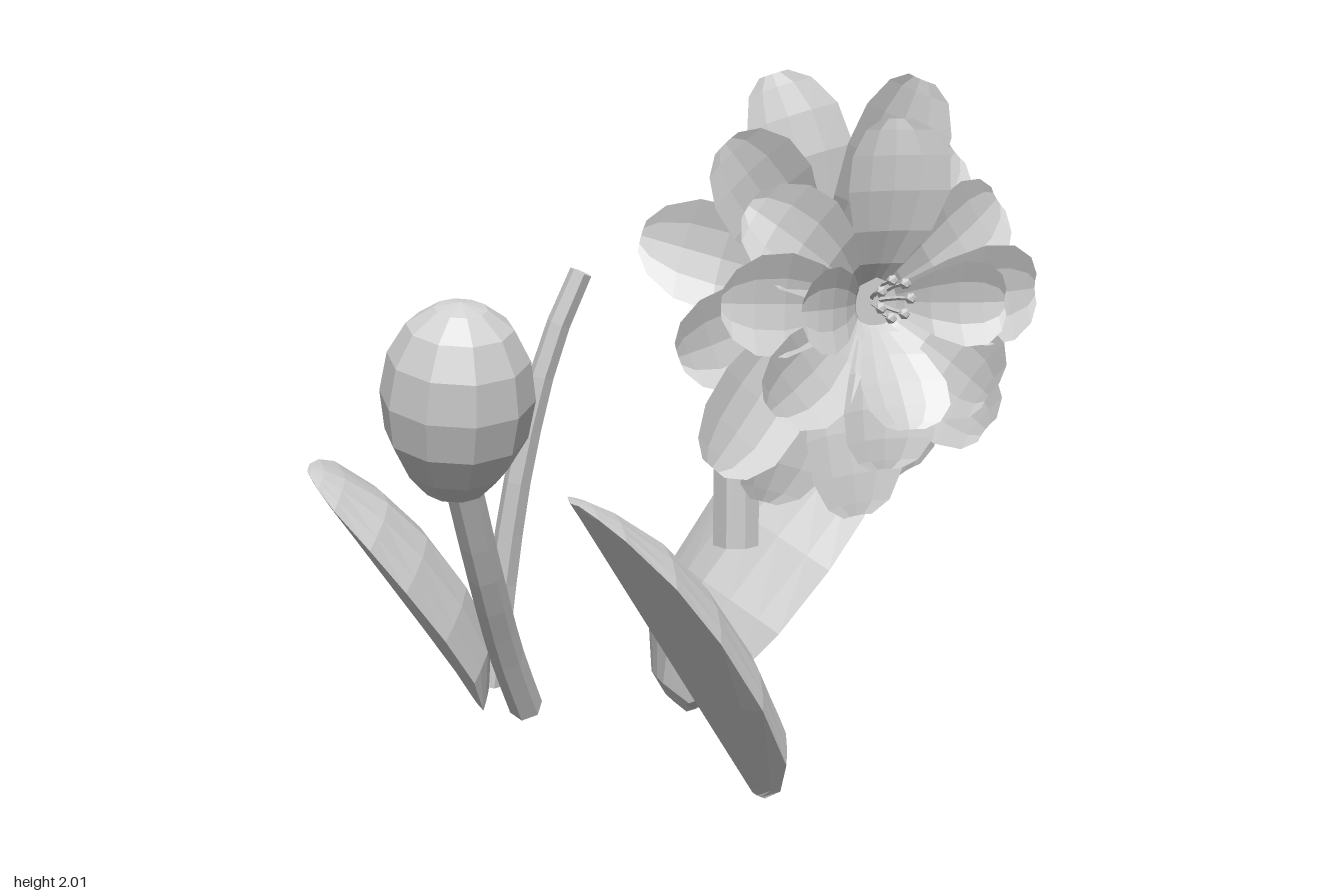
import * as THREE from 'three';

const V = (x, y, z) => new THREE.Vector3(x, y, z);
const clay = new THREE.MeshStandardMaterial({ color: 0xd0d0d0, flatShading: true, side: THREE.DoubleSide });
clay.name = 'lightGrey';

function mesh(geometry, name, parent) {
  const m = new THREE.Mesh(geometry, clay);
  m.name = name;
  parent.add(m);
  return m;
}

// Skin a list of equally long point rows
function skin(rows) {
  const n = rows[0].length, index = [];
  for (let i = 0; i < rows.length - 1; i++) {
    for (let j = 0; j < n - 1; j++) {
      const a = i * n + j, b = a + n;
      index.push(a, a + 1, b, b, a + 1, b + 1);
    }
  }
  const g = new THREE.BufferGeometry().setFromPoints(rows.flat());
  g.setIndex(index);
  g.computeVertexNormals();
  return g;
}

// Tapered, capped stem along a smooth path
function stem(points, r0, r1, steps = 8, sides = 6) {
  const curve = new THREE.CatmullRomCurve3(points);
  const frames = curve.computeFrenetFrames(steps);
  const ring = (i, r) => Array.from({ length: sides + 1 }, (_, j) => {
    const a = (j / sides) * Math.PI * 2;
    return curve.getPointAt(i / steps)
      .addScaledVector(frames.normals[i], -r * Math.cos(a))
      .addScaledVector(frames.binormals[i], r * Math.sin(a));
  });
  const rows = [ring(0, 0)];
  for (let i = 0; i <= steps; i++) rows.push(ring(i, r0 + (r1 - r0) * i / steps));
  rows.push(ring(steps, 0));
  return skin(rows);
}

// Fleshy leaf: a straight keel below, a bulging top and a rim between; shape holds [t, width, bulge]
const LEAF = [[0, .2, .12], [.03, .42, .5], [.14, .72, .88], [.35, .94, 1], [.58, 1, .95],
  [.76, .92, .76], [.91, .68, .42], [.97, .42, .22], [1, .16, .08]];
const CUT_LEAF = [[0, .6, .4], [.14, .8, .85], ...LEAF.slice(3)];
function leaf(base, tip, half, depth, roll, shape) {
  const dir = tip.clone().sub(base).normalize();
  const flat = V(0, 0, 1).addScaledVector(dir, -dir.z).normalize();
  const rise = flat.clone().cross(dir);
  if (rise.y < 0) rise.negate();
  const side = flat.clone().multiplyScalar(Math.cos(roll)).addScaledVector(rise, -Math.sin(roll));
  const up = rise.clone().multiplyScalar(Math.cos(roll)).addScaledVector(flat, Math.sin(roll));
  const across = [-1, -.75, -.4, 0, .4, .75, 1];
  const loop = [...across.map(s => [s, 1]), ...across.toReversed().map(s => [s, -1])];
  const rows = shape.map(([t, w, bulge]) => loop.map(([s, face]) =>
    base.clone().lerp(tip, t)
      .addScaledVector(side, s * w * half)
      .addScaledVector(up, depth * bulge * (.5 + face * .5 * (1 - Math.abs(s) ** 1.5)))));
  return skin([loop.map(() => base), ...rows, loop.map(() => tip)]);
}

// Cupped petal pointing along +x, with its side profile in x and z
const PETAL = [[0, .18], [.2, .42], [.42, .77], [.65, 1], [.83, .95], [.95, .66], [1, .3]];
function petal(length, half, z0, zMid, zTip, cup) {
  const path = new THREE.QuadraticBezierCurve3(V(.03, 0, z0), V(length * .42, 0, zMid), V(length, 0, zTip));
  return skin(PETAL.map(([t, w]) => [-1, -.5, 0, .5, 1].map(s =>
    path.getPoint(t).add(V(0, s * w * half, cup * s * s * w)))));
}

export function createModel() {
  const model = new THREE.Group();

  // Leaves
  mesh(leaf(V(.25, 0, -.595), V(.9, .86, -.595), .33, .21, .25, LEAF), 'leftLeaf', model);
  mesh(leaf(V(.18, .03, .19), V(-.34, .91, .19), .305, .2, 0, LEAF), 'frontLeaf', model);
  mesh(leaf(V(-.42, .11, -.665), V(-.9, .87, -.59), .255, .18, .25, CUT_LEAF), 'rightLeaf', model);

  // Small loose stem end beside the left leaf
  const disc = mesh(new THREE.CircleGeometry(.072, 6), 'stemEnd', model);
  disc.position.set(.26, .09, -.36);
  disc.lookAt(.26, .91, -.93);

  // Bare stem
  mesh(stem([V(-.35, .12, -.68), V(-.31, .45, -.66), V(-.26, .82, -.61), V(-.17, 1.2, -.565), V(-.08, 1.42, -.54)],
    .05, .034), 'bareStem', model);

  // Bud and its stem
  mesh(stem([V(-.27, .075, -.55), V(-.36, .3, -.43), V(-.46, .6, -.26), V(-.56, .94, -.1)], .052, .05), 'budStem', model);
  const profile = [[0, -.27], [.085, -.265], [.14, -.2], [.19, -.1], [.205, .01], [.187, .12], [.14, .205], [.07, .255], [0, .272]];
  const bud = mesh(new THREE.LatheGeometry(profile.map(p => new THREE.Vector2(...p)), 10), 'bud', model);
  bud.position.set(-.577, 1.16, -.037);
  bud.rotation.x = .25;

  // Flower stem: thick stub, then an arch toward the front
  const stub = mesh(new THREE.CylinderGeometry(.07, .072, .54, 8), 'stemStub', model);
  stub.position.set(.272, .92, -.172);
  mesh(stem([V(.272, 1.17, -.18), V(.272, 1.3, -.145), V(.272, 1.41, -.05), V(.272, 1.465, .1), V(.272, 1.48, .3),
    V(.272, 1.465, .5), V(.272, 1.465, .68)], .048, .014, 14), 'archedStem', model);

  // Flower heads
  const flowers = new THREE.Group();
  flowers.name = 'flowers';
  flowers.position.set(.272, 1.465, 0);
  model.add(flowers);
  const addPetal = (name, deg, ...args) => {
    mesh(petal(...args), name, flowers).rotation.z = deg * Math.PI / 180;
  };

  // Rear flower: [angle, length, tip depth], some bent back and some forward
  const rear = [[106, .55, .41], [70, .55, .53], [43, .49, .41], [18, .49, .35], [-17, .49, .48], [-42, .55, .53],
    [-64, .54, .43], [-85, .57, .52], [-108, .56, .43], [-132, .54, .56], [-160, .43, .44], [163, .49, .35], [131, .49, .53]];
  for (const [deg, len, tip] of rear) {
    addPetal('rearPetal', deg, len, .13, .36, tip < .46 ? .52 : .51, tip - .01, .03);
  }

  // Front flower, outer ring: [angle, length, tip depth]
  const outer = [[3, .41, .72], [36, .4, .67], [144, .4, .67], [177, .41, .72], [219, .37, .73], [270, .39, .75], [321, .37, .73]];
  for (const [deg, len, tip] of outer) addPetal('frontOuterPetal', deg, len, .12, .63, .76, tip, .03);

  // Front flower, inner ring: [angle, length, half width, tip depth]
  for (const [deg, len, half, tip] of [[90, .43, .13, .76], [2, .26, .1, .83], [178, .26, .1, .83], [270, .27, .11, .87]]) {
    addPetal('frontInnerPetal', deg, len, half, .65, .79, tip, .03);
  }

  // Cups behind both heads
  for (const [z, r] of [[.37, .075], [.65, .06]]) {
    const cup = mesh(new THREE.CylinderGeometry(r, r * .55, .07, 8), 'calyx', flowers);
    cup.rotation.x = Math.PI / 2;
    cup.position.z = z;
  }

  // Stamens
  for (let i = 0; i < 7; i++) {
    const a = i * Math.PI * 2 / 7, x = .04 * Math.cos(a), y = .02 + .045 * Math.sin(a);
    mesh(stem([V(0, 0, .66), V(x * .7, y * .7, .72), V(x, y, .78)], .006, .004, 3, 4), 'filament', flowers);
    mesh(new THREE.IcosahedronGeometry(.014, 0), 'anther', flowers).position.set(x, y, .78);
  }
  return model;
}
